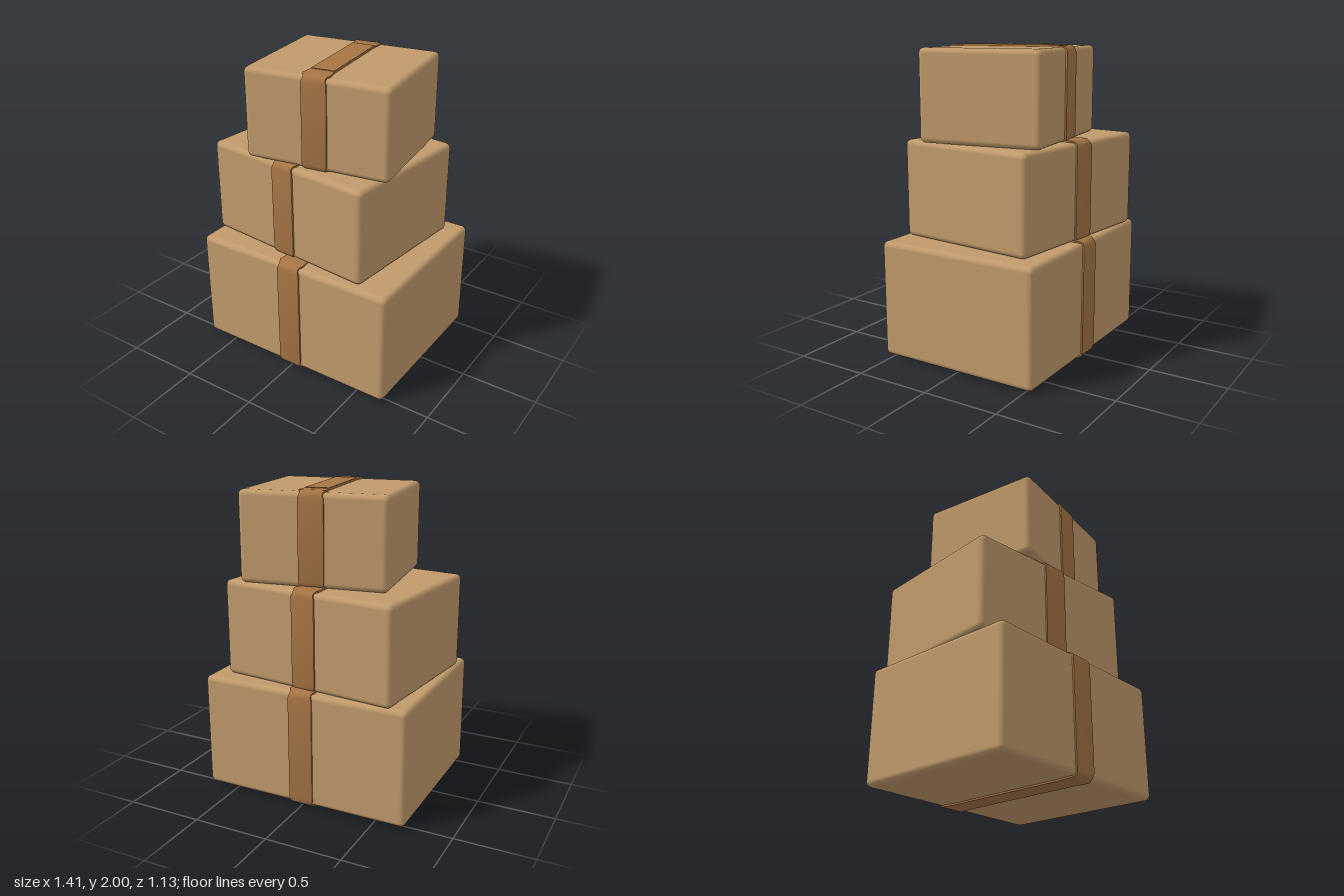
import * as THREE from 'three';
import { RoundedBoxGeometry } from 'three/addons/geometries/RoundedBoxGeometry.js';
import { toCreasedNormals } from 'three/addons/utils/BufferGeometryUtils.js';

const RADIUS = 0.035;     // rounded edges of the boxes
const TAPE = 0.011;       // how far the tape stands off the box

const cardboard = new THREE.MeshStandardMaterial({ name: 'cardboard', color: 0xc19a6b });
const tapeBrown = new THREE.MeshStandardMaterial({ name: 'tape brown', color: 0xa57444 });

// Tape loop around a box of height h and depth d, pinched over the edges
function tapeGeometry(h, d) {
  const sections = [];      // each: z, y, normal z, normal y, half width
  for (let q = 0; q < 4; q++) {
    const sz = q === 0 || q === 3 ? 1 : -1;
    const sy = q < 2 ? 1 : -1;
    const cz = sz * (d / 2 - RADIUS);
    const cy = sy * (h / 2 - RADIUS);
    const flat = [cz - sz * 0.09, cy, 0, sy, 0.077];
    const arc = [];
    for (let i = 0; i <= 4; i++) {
      const a = (q + i / 4) * Math.PI / 2;
      const horizontal = q % 2 === 0 ? i / 4 : 1 - i / 4;
      const half = 0.082 + 0.006 * horizontal - 0.012 * Math.sin(i / 4 * Math.PI);
      arc.push([cz, cy, Math.cos(a), Math.sin(a), half]);
    }
    sections.push(...(q % 2 === 0 ? [...arc, flat] : [flat, ...arc]));
  }

  const positions = [];
  const index = [];
  const outer = RADIUS + TAPE;
  const inner = RADIUS - 0.006;
  for (const [z, y, nz, ny, half] of sections) {
    for (const [x, r] of [[-half, inner], [-half, outer], [half, outer], [half, inner]]) {
      positions.push(x, y + ny * r, z + nz * r);
    }
  }
  const n = sections.length;
  for (let i = 0; i < n; i++) {
    const j = (i + 1) % n;
    for (let k = 0; k < 3; k++) {
      const a = i * 4 + k, b = j * 4 + k;
      index.push(a, a + 1, b + 1, a, b + 1, b);
    }
  }
  const geometry = new THREE.BufferGeometry();
  geometry.setAttribute('position', new THREE.Float32BufferAttribute(positions, 3));
  geometry.setIndex(index);
  return toCreasedNormals(geometry, 0.7);
}

// One closed carton with its tape, standing on y
function makeParcel(name, { w, h, d, x, y, z, turn }) {
  const parcel = new THREE.Group();
  parcel.name = name;

  const box = new THREE.Mesh(new RoundedBoxGeometry(w, h, d, 4, RADIUS), cardboard);
  box.name = 'cardboardBox';

  const tape = new THREE.Mesh(tapeGeometry(h, d), tapeBrown);
  tape.name = 'tapeLoop';

  // Second layer of tape along the top seam
  const seam = new THREE.Mesh(new THREE.BoxGeometry(0.152, 0.008, d - 0.23), tapeBrown);
  seam.name = 'topSeamTape';
  seam.position.y = h / 2 + TAPE;

  parcel.add(box, tape, seam);
  parcel.position.set(x, y + h / 2, z);
  parcel.rotation.y = turn;
  return parcel;
}

export function createModel() {
  const model = new THREE.Group();
  model.name = 'parcelStack';
  model.add(
    makeParcel('largeParcel', { w: 1.41, h: 0.762, d: 1.11, x: 0, y: 0.013, z: 0, turn: 0 }),
    makeParcel('mediumParcel', { w: 1.21, h: 0.63, d: 0.96, x: -0.052, y: 0.775, z: -0.027, turn: -0.105 }),
    makeParcel('smallParcel', { w: 0.955, h: 0.58, d: 0.81, x: 0.05, y: 1.405, z: 0, turn: 0.14 }),
  );
  return model;
}
